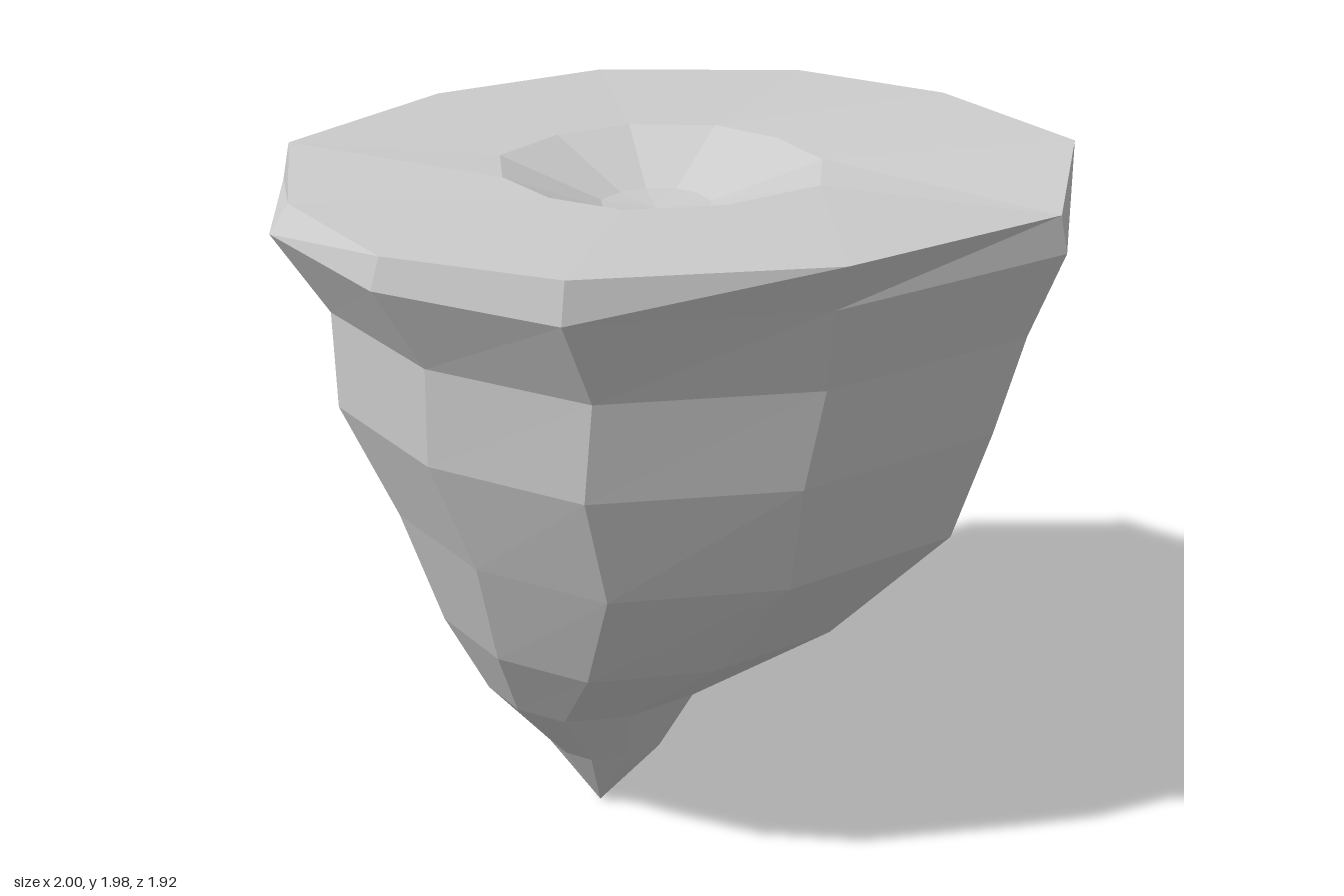
import * as THREE from 'three';

// Irregular eleven-sided outline [x, z], scaled into every ring
const OUTLINE = [
  [0.3, -1], [0.8, -0.68], [1, -0.18], [0.98, 0.43], [0.65, 0.93], [-0.07, 1],
  [-0.66, 0.78], [-0.94, 0.32], [-1, -0.24], [-0.8, -0.72], [-0.25, -1],
];
const N = OUTLINE.length;

// Ring at height y, fitted to the extents x0..x1 and z0..z1
function ring(y, x0, x1, z0, z1) {
  return OUTLINE.map(([x, z]) => new THREE.Vector3(
    (x0 + x1) / 2 + x * (x1 - x0) / 2, y, (z0 + z1) / 2 + z * (z1 - z0) / 2));
}

const point = (x, y, z) => OUTLINE.map(() => new THREE.Vector3(x, y, z));

// Faceted skin through successive rings, skipping collapsed triangles
function skin(name, rings, material) {
  const pos = [];
  const tri = (a, b, c) => {
    if (a.equals(b) || b.equals(c) || c.equals(a)) return;
    for (const p of [a, b, c]) pos.push(p.x, p.y, p.z);
  };
  for (let i = 0; i + 1 < rings.length; i++) {
    const lo = rings[i], up = rings[i + 1];
    for (let k = 0; k < N; k++) {
      const n = (k + 1) % N;
      tri(lo[n], lo[k], up[k]);
      tri(lo[n], up[k], up[n]);
    }
  }
  const geometry = new THREE.BufferGeometry();
  geometry.setAttribute('position', new THREE.Float32BufferAttribute(pos, 3));
  geometry.computeVertexNormals();
  const mesh = new THREE.Mesh(geometry, material);
  mesh.name = name;
  return mesh;
}

export function createModel() {
  const group = new THREE.Group();
  group.name = 'floatingRock';
  const material = new THREE.MeshStandardMaterial({ color: 0xcccccc, flatShading: true });

  // Uneven upper rim [x, y, z]
  const rim = [
    [0.3, 1.955, -0.96], [0.83, 1.95, -0.68], [1, 1.97, -0.18], [0.98, 1.98, 0.43],
    [0.62, 1.94, 0.83], [-0.08, 1.965, 0.96], [-0.65, 1.95, 0.7], [-0.92, 1.93, 0.29],
    [-0.95, 1.92, -0.23], [-0.79, 1.95, -0.66], [-0.24, 1.955, -0.93],
  ].map((p) => new THREE.Vector3(...p));

  // Tapering rock from the off-centre tip up to the lip
  group.add(skin('rockBody', [
    point(-0.17, 0, -0.11),
    ring(0.21, -0.3, 0.02, -0.29, 0.02),
    ring(0.43, -0.48, 0.11, -0.4, 0.15),
    ring(0.69, -0.61, 0.47, -0.56, 0.44),
    ring(1.03, -0.72, 0.75, -0.73, 0.69),
    ring(1.35, -0.85, 0.83, -0.88, 0.79),
    ring(1.62, -0.86, 0.89, -0.88, 0.84),
    ring(1.845, -1, 0.98, -0.95, 0.91),
    rim,
  ], material));

  // Top surface with a shallow hollow
  group.add(skin('topSurface', [
    rim,
    ring(1.935, -0.41, 0.4, -0.43, 0.35),
    ring(1.83, -0.15, 0.13, -0.18, 0.08),
    point(-0.01, 1.815, -0.05),
  ], material));

  return group;
}
